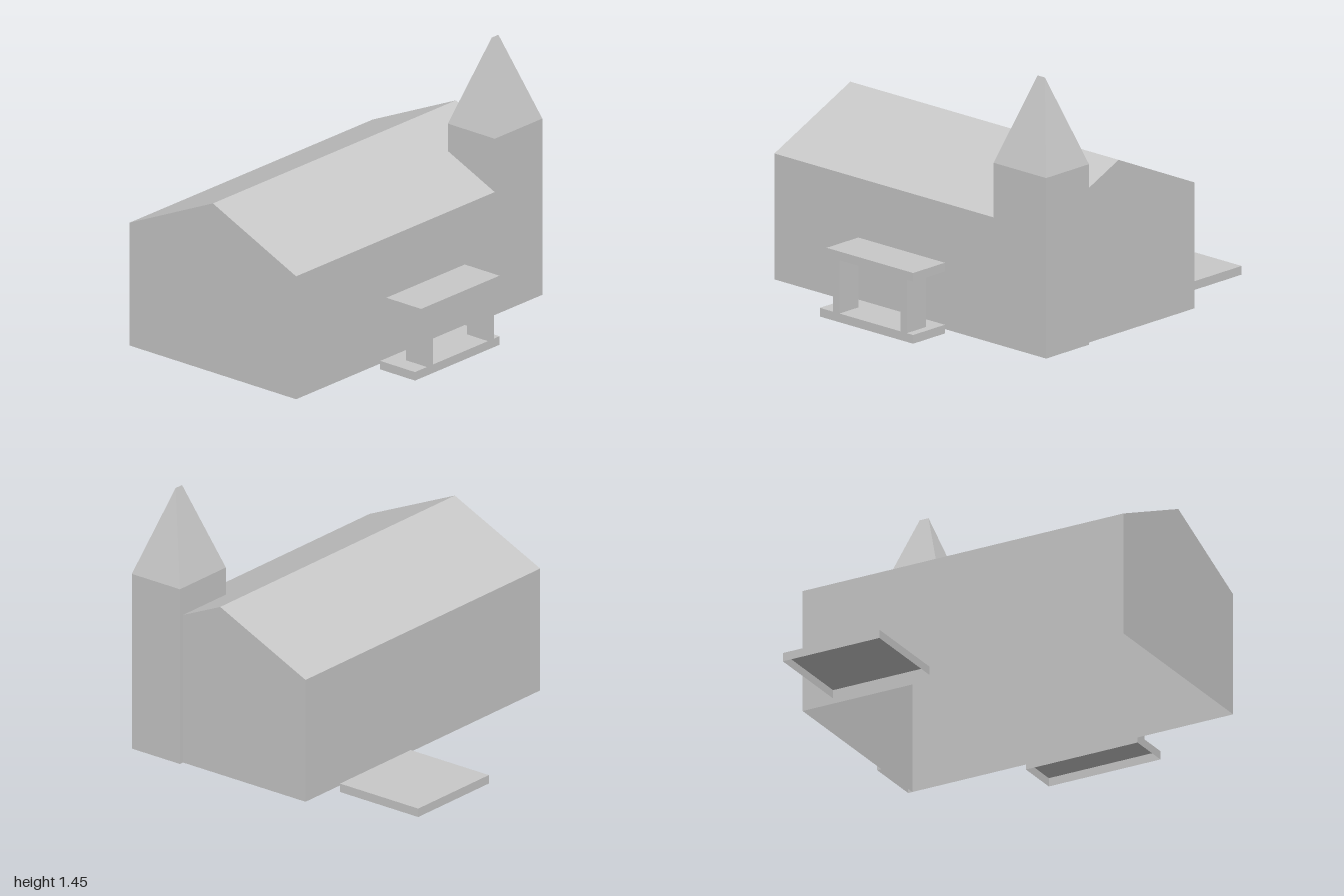
import * as THREE from 'three';

// Flat-faced geometry from convex (or fan-safe) polygons listed counter-clockwise from outside
function panels(polys) {
  const pos = [];
  for (const p of polys) {
    for (let i = 1; i < p.length - 1; i++) pos.push(...p[0], ...p[i], ...p[i + 1]);
  }
  const g = new THREE.BufferGeometry();
  g.setAttribute('position', new THREE.Float32BufferAttribute(pos, 3));
  g.computeVertexNormals();
  return g;
}

// Box given by its limits; an open one has no underside
function block(x0, x1, y0, y1, z0, z1, open = false) {
  const g = new THREE.BoxGeometry(x1 - x0, y1 - y0, z1 - z0);
  if (open) {
    const idx = Array.from(g.index.array);
    idx.splice(18, 6);
    g.setIndex(idx);
    g.clearGroups();
  }
  return g.translate((x0 + x1) / 2, (y0 + y1) / 2, (z0 + z1) / 2);
}

export function createModel() {
  const model = new THREE.Group();
  model.name = 'church';
  const stone = new THREE.MeshStandardMaterial({ color: 0xc8c8c8, side: THREE.DoubleSide });
  stone.name = 'lightGrey';

  const add = (name, geometry, parent = model) => {
    const mesh = new THREE.Mesh(geometry, stone);
    mesh.name = name;
    parent.add(mesh);
  };

  // Hall: a shell open at the ground
  const x0 = -0.963, x1 = 0.937, zb = -0.425, zf = 0.71, zr = 0.1425;
  const eave = 0.68, ridge = 0.935;
  const gable = x => [[x, 0, zf], [x, 0, zb], [x, eave, zb], [x, ridge, zr], [x, eave, zf]];
  add('hallWalls', panels([
    [[x0, 0, zf], [x1, 0, zf], [x1, eave, zf], [x0, eave, zf]],
    [[x1, 0, zb], [x0, 0, zb], [x0, eave, zb], [x1, eave, zb]],
    gable(x1),
    gable(x0).reverse(),
  ]));
  add('hallRoof', panels([
    [[x0, eave, zf], [x1, eave, zf], [x1, ridge, zr], [x0, ridge, zr]],
    [[x1, eave, zb], [x0, eave, zb], [x0, ridge, zr], [x1, ridge, zr]],
  ]));

  // Tower: only the walls that stand clear of the hall
  const tower = new THREE.Group();
  tower.name = 'tower';
  model.add(tower);
  const t0 = 0.59, t1 = 0.962, b = 0.39, f = zf, h = 0.975;
  const yb = eave + (ridge - eave) * (zf - b) / (zf - zr);
  add('towerWalls', panels([
    [[x1, eave, f], [x1, 0, f], [t1, 0, f], [t1, h, f], [t0, h, f], [t0, eave, f]],
    [[x1, yb, b], [t0, yb, b], [t0, h, b], [t1, h, b], [t1, 0, b], [x1, 0, b]],
    [[t1, 0, f], [t1, 0, b], [t1, h, b], [t1, h, f]],
    [[t0, yb, b], [t0, eave, f], [t0, h, f], [t0, h, b]],
  ]), tower);

  // Spire with a short ridge
  const a0 = [0.75, 1.445, 0.55], a1 = [0.802, 1.445, 0.55];
  add('spire', panels([
    [[t0, h, f], [t1, h, f], a1, a0],
    [[t1, h, b], [t0, h, b], a0, a1],
    [[t1, h, f], [t1, h, b], a1],
    [[t0, h, b], [t0, h, f], a0],
  ]), tower);

  // Porch in front: base, two posts and a flat roof
  const porch = new THREE.Group();
  porch.name = 'porch';
  model.add(porch);
  add('porchBase', block(-0.366, 0.295, 0, 0.047, 0.763, 1, true), porch);
  for (const [name, x] of [['porchRightPost', -0.272], ['porchLeftPost', 0.205]]) {
    add(name, block(x, x + 0.045, 0.047, 0.335, 0.858, 1), porch);
  }
  add('porchRoof', block(-0.318, 0.295, 0.335, 0.382, 0.763, 1), porch);

  // Low slab behind the hall
  add('rearSlab', block(0.153, 0.725, 0, 0.047, -1, -0.48, true));

  return model;
}
